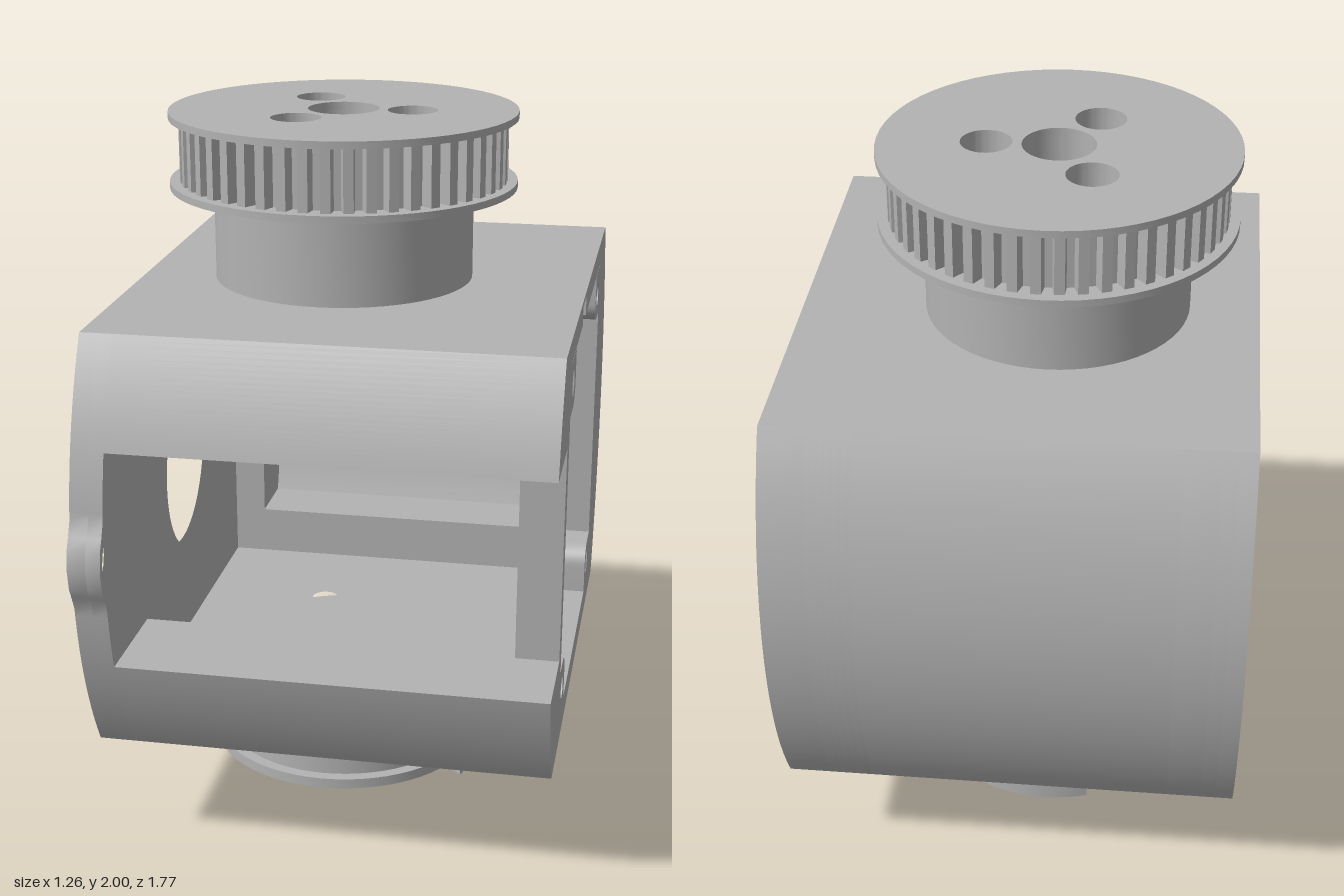
import * as THREE from 'three';
import { toCreasedNormals } from 'three/addons/utils/BufferGeometryUtils.js';

const metal = new THREE.MeshStandardMaterial({ color: 0xb3b3b3 });
metal.name = 'grey metal';

const MID = 0.935, HALF = 0.59, R = 1.168;   // body mid height, half height, curve radius
const FRONT = 0.85, BACK = -0.88;            // furthest points of the curved ends
const CX = -0.07, CZ = -0.018;               // hub axis
const SCREWS = [[-0.17, -0.19], [-0.17, 0.15], [0.125, -0.02]];

export function createModel() {
  const model = new THREE.Group();

  const add = (name, geometry) => {
    const mesh = new THREE.Mesh(toCreasedNormals(geometry, 0.45), metal);
    mesh.name = name;
    model.add(mesh);
  };
  const extrude = (shape, depth) =>
    new THREE.ExtrudeGeometry(shape, { depth, bevelEnabled: false, curveSegments: 32 });
  // section drawn in (z, y), swept along x
  const sweepX = (name, shape, x0, x1) =>
    add(name, extrude(shape, x1 - x0).rotateY(Math.PI / 2).translate(x0, 0, 0));
  // plan drawn in (x, z), swept along y
  const sweepY = (name, shape, y0, y1) =>
    add(name, extrude(shape, y1 - y0).rotateX(-Math.PI / 2).translate(0, y0, 0));
  // both drawing planes have -z as one axis
  const zy = pts => new THREE.Shape(pts.map(([z, y]) => new THREE.Vector2(-z, y)));
  const xz = pts => new THREE.Shape(pts.map(([x, z]) => new THREE.Vector2(x, -z)));
  const hole = (shape, u, v, r) => shape.holes.push(new THREE.Path().absarc(u, v, r, 0, Math.PI * 2, true));

  // points of the curved ends between two heights
  const curve = (y0, y1, side, inset = 0, n = 20) => Array.from({ length: n + 1 }, (_, i) => {
    const y = y0 + (y1 - y0) * i / n;
    const bulge = Math.sqrt((R - inset) ** 2 - (y - MID) ** 2) - R;
    return [side > 0 ? FRONT + bulge : BACK - bulge, y];
  });
  const BOTTOM = MID - HALF, TOP = MID + HALF;

  // closed side wall, with the cable lug on its front edge
  const wallShape = blindHoles => {
    const lug = [[0.862, 0.85], [0.877, 0.88], [0.886, 0.935], [0.877, 0.99], [0.862, 1.02]];
    const s = zy([...curve(BOTTOM, 0.81, 1), ...lug, ...curve(1.06, TOP, 1), ...curve(TOP, BOTTOM, -1)]);
    hole(s, 0.012, 0.937, 0.273);
    for (const y of [1.315, 0.555]) for (const z of [0.367, -0.393]) hole(s, -z, y, 0.033);
    if (blindHoles) for (const y of [1.27, 0.595]) for (const z of [0.655, -0.715]) hole(s, -z, y, 0.035);
    const slot = new THREE.Path();
    slot.moveTo(-0.8, 0.82);
    slot.quadraticCurveTo(-0.93, 0.935, -0.8, 1.05);
    slot.quadraticCurveTo(-0.66, 0.935, -0.8, 0.82);
    s.holes.push(slot);
    return s;
  };
  sweepX('sideWallOuter', wallShape(true), -0.63, -0.58);
  sweepX('sideWallInner', wallShape(false), -0.58, -0.54);

  // front bars above and below the window, and the recessed post
  sweepX('frontUpperBar', zy([[0.5, 1.24], ...curve(1.24, TOP, 1), [0.5, TOP]]), -0.54, 0.63);
  sweepX('frontLowerBar', zy([[0.5, BOTTOM], ...curve(BOTTOM, 0.63, 1), [0.5, 0.63]]), -0.54, 0.63);
  sweepX('frontPost', zy([[0.5, 0.63], [0.56, 0.63], [0.56, 1.24], [0.5, 1.24]]), 0.51, 0.63);

  // back wall in slices, so the hollow inside it gets rounded ends
  const backSlice = (x0, x1, h) => {
    const pocket = h ? [[-0.53, MID - h], ...curve(MID - h, MID + h, -1, 0.09), [-0.53, MID + h]] : [];
    sweepX('backWall', zy([...curve(TOP, BOTTOM, -1), [-0.53, BOTTOM], ...pocket, [-0.53, TOP]]), x0, x1);
  };
  backSlice(-0.54, -0.445, 0);
  backSlice(-0.445, 0.39, 0.37);
  const steps = 8, cornerR = 0.12;
  for (let i = 0; i < steps; i++) {
    const a = i / steps * Math.PI / 2, b = (i + 1) / steps * Math.PI / 2;
    backSlice(0.39 + cornerR * Math.sin(a), 0.39 + cornerR * Math.sin(b),
      0.37 - cornerR * (1 - Math.cos((a + b) / 2)));
  }
  backSlice(0.51, 0.63, 0);

  // roof and floor plates with screw holes; the roof has a notch in its open edge
  const plate = notch => {
    const edge = notch ? [[0.63, 0.05], [0.5, 0.05], [0.5, 0.16], [0.63, 0.16]] : [];
    const s = xz([[-0.54, 0.5], [-0.54, -0.53], [0.63, -0.53], ...edge, [0.63, 0.5]]);
    for (const [x, z] of SCREWS) hole(s, x, -z, 0.04);
    return s;
  };
  sweepY('roofLower', plate(true), 1.455, 1.51);
  sweepY('roofUpper', plate(false), 1.51, TOP);
  sweepY('floor', plate(false), BOTTOM, 0.42);

  // corner screw bosses at the open side
  for (const sy of [1, -1]) for (const sz of [1, -1]) {
    const P = (dz, dy) => [-0.0125 + sz * dz, MID + sy * dy];
    const pts = [P(0.5175, 0.518), P(0.3675, 0.518), P(0.3675, 0.43)];
    for (let i = 1; i <= 8; i++) {
      const a = i / 8 * Math.PI / 2;
      pts.push(P(0.4275 - 0.06 * Math.cos(a), 0.43 - 0.06 * Math.sin(a)));
    }
    pts.push(P(0.5175, 0.37));
    const s = zy(pts);
    hole(s, 0.0125 - sz * 0.443, MID + sy * 0.443, 0.035);
    sweepX('cornerBoss', s, 0.47, 0.63);
  }

  // round hub layers around the vertical axis
  const disc = (name, r, y0, y1, screwR, centreR = 0) => {
    const s = new THREE.Shape().absarc(CX, -CZ, r, 0, Math.PI * 2);
    drill(s, screwR, centreR);
    sweepY(name, s, y0, y1);
  };
  const drill = (s, screwR, centreR) => {
    for (const [x, z] of SCREWS) hole(s, x, -z, screwR);
    if (centreR) hole(s, CX, -CZ, centreR);
  };
  disc('upperNeck', 0.367, TOP, 1.785, 0.04);
  disc('pulleyLowerFlange', 0.49, 1.785, 1.805, 0.04);
  disc('pulleyUpperFlange', 0.49, 1.98, 2, 0.07, 0.1);
  disc('lowerNeck', 0.367, 0.1, BOTTOM, 0.04);
  disc('lowerFlange', 0.4, 0.07, 0.1, 0.04);

  // toothed pulley ring
  const teeth = 48, ring = [];
  for (let i = 0; i < teeth; i++) {
    for (const [f, r] of [[0, 0.425], [0.35, 0.425], [0.45, 0.462], [0.9, 0.462]]) {
      const a = -(i + f) / teeth * Math.PI * 2;
      ring.push([CX + r * Math.cos(a), CZ + r * Math.sin(a)]);
    }
  }
  const pulley = xz(ring);
  drill(pulley, 0.07, 0.1);
  sweepY('pulleyTeeth', pulley, 1.805, 1.98);

  // part-disc stop under the lower flange, notched around one screw
  const stop = [];
  const a0 = Math.atan2(0.13, 0.377), a1 = Math.atan2(-0.377, -0.13);
  for (let i = 0; i <= 32; i++) {
    const a = a0 + (a1 - a0) * i / 32;
    stop.push([CX + 0.4 * Math.cos(a), CZ + 0.4 * Math.sin(a)]);
  }
  for (let i = 0; i <= 12; i++) {
    const a = -Math.PI * 0.75 + i / 12 * Math.PI;
    stop.push([CX + 0.221 + 0.09 * Math.cos(a), CZ - 0.026 + 0.09 * Math.sin(a)]);
  }
  sweepY('stopBlock', xz(stop), 0, 0.07);

  return model;
}
